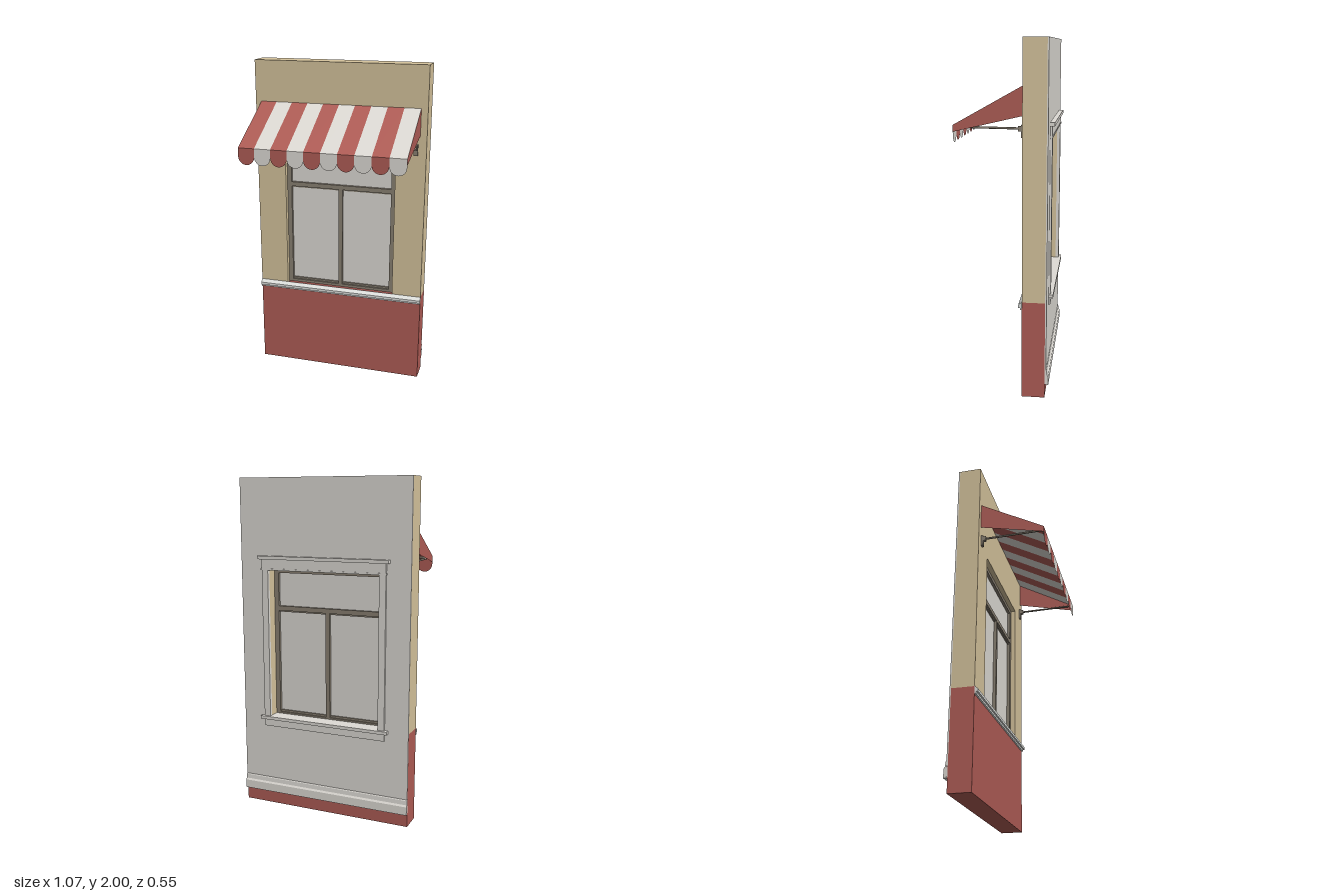
import * as THREE from 'three';

const mat = (name, color, side = THREE.FrontSide) => {
  const m = new THREE.MeshStandardMaterial({ color, side });
  m.name = name;
  return m;
};

export function createModel() {
  const red = mat('brick red', 0xb05d56, THREE.DoubleSide);
  const tan = mat('tan plaster', 0xd6c49d);
  const white = mat('off white', 0xdedbd5, THREE.DoubleSide);
  const trim = mat('pale trim', 0xdfe1de);
  const dark = mat('grey brown frame', 0x8a8173);

  const model = new THREE.Group();
  model.name = 'shopWallWithAwning';

  const add = (name, geo, m, parent = model) => {
    const mesh = new THREE.Mesh(geo, m);
    mesh.name = name;
    parent.add(mesh);
    return mesh;
  };
  // box given by its minimum and maximum on each axis
  const box = (name, m, [x0, x1], [y0, y1], [z0, z1], parent) => {
    const mesh = add(name, new THREE.BoxGeometry(x1 - x0, y1 - y0, z1 - z0), m, parent);
    mesh.position.set((x0 + x1) / 2, (y0 + y1) / 2, (z0 + z1) / 2);
    return mesh;
  };
  const shape = (pts) => new THREE.Shape(pts.map(([x, y]) => new THREE.Vector2(x, y)));
  const extrude = (s, depth, z) =>
    new THREE.ExtrudeGeometry(s, { depth, bevelEnabled: false }).translate(0, 0, z);
  // moulding: (z, y) profile swept along x
  const moulding = (name, m, pts, halfWidth, parent) => {
    const geo = extrude(shape(pts.map(([z, y]) => [-z, y])), halfWidth * 2, -halfWidth);
    return add(name, geo.rotateY(Math.PI / 2), m, parent);
  };
  const rod = (name, a, b, r, m, parent) => {
    const path = new THREE.LineCurve3(new THREE.Vector3(...a), new THREE.Vector3(...b));
    add(name, new THREE.TubeGeometry(path, 1, r, 8), m, parent);
  };

  const W = 0.533, OW = 0.35, SILL = 0.565, HEAD = 1.47;
  const FRONT = -0.11, BACK = -0.24;

  // Wall: painted base and plastered upper part around the opening
  box('lowerWall', red, [-W, W], [0, SILL], [BACK, FRONT]);
  const upper = shape([[-W, SILL], [-OW, SILL], [-OW, HEAD], [OW, HEAD],
    [OW, SILL], [W, SILL], [W, 2], [-W, 2]]);
  add('upperWall', extrude(upper, FRONT - BACK, BACK), tan);

  // Inner wall lining with the window opening
  const lining = shape([[-W, 0.08], [W, 0.08], [W, 2], [-W, 2]]);
  lining.holes.push(new THREE.Path([[-OW, SILL], [-OW, HEAD], [OW, HEAD], [OW, SILL]]
    .map(([x, y]) => new THREE.Vector2(x, y))));
  add('innerLining', extrude(lining, 0.008, BACK - 0.008), white);

  // Mouldings: outer ledge and inner baseboard
  moulding('outerLedge', trim, [[FRONT, 0.568], [FRONT, 0.522], [-0.1, 0.522],
    [-0.1, 0.534], [-0.09, 0.534], [-0.09, 0.55]], W + 0.001);
  moulding('baseboard', white, [[-0.245, 0.08], [-0.245, 0.175], [-0.252, 0.165],
    [-0.254, 0.14], [-0.261, 0.13], [-0.262, 0.08]], W + 0.001);

  // Window
  const win = new THREE.Group();
  win.name = 'window';
  model.add(win);
  const FZ = [-0.18, -0.14];
  for (const s of [-1, 1]) {
    const x = [s * OW, s * 0.322].sort((a, b) => a - b);
    box('frameSide', dark, x, [SILL, HEAD], FZ, win);
  }
  box('frameBottom', dark, [-0.322, 0.322], [SILL, 0.582], FZ, win);
  box('frameTop', dark, [-0.322, 0.322], [1.445, HEAD], FZ, win);
  box('transom', dark, [-0.322, 0.322], [1.218, 1.246], FZ, win);
  box('mullion', dark, [-0.013, 0.013], [0.582, 1.218], FZ, win);
  // thin sash rails around the two lower panes
  for (const s of [-1, 1]) {
    const x = [s * 0.322, s * 0.013].sort((a, b) => a - b);
    box('sashRail', dark, x, [0.582, 0.594], [-0.172, -0.15], win);
    box('sashRail', dark, x, [1.21, 1.218], [-0.172, -0.15], win);
    box('lowerPane', white, x, [0.594, 1.21], [-0.163, -0.158], win);
  }
  box('upperPane', white, [-0.322, 0.322], [1.246, 1.445], [-0.163, -0.158], win);

  // Inner window casing
  const casing = new THREE.Group();
  casing.name = 'innerCasing';
  model.add(casing);
  for (const s of [-1, 1]) {
    const x = [s * OW, s * 0.39].sort((a, b) => a - b);
    box('casingSide', white, x, [0.572, HEAD], [-0.26, -0.246], casing);
  }
  box('casingHead', white, [-0.39, 0.39], [HEAD, 1.532], [-0.26, -0.246], casing);
  box('casingBead', white, [-0.395, 0.395], [1.466, 1.476], [-0.264, -0.246], casing);
  box('casingCap', white, [-0.41, 0.41], [1.53, 1.55], [-0.275, -0.246], casing);
  box('innerSill', white, [-0.41, 0.41], [0.553, 0.572], [-0.275, -0.246], casing);
  box('sillApron', white, [-0.39, 0.39], [0.508, 0.553], [-0.258, -0.246], casing);
  box('innerStool', white, [-OW, OW], [SILL, 0.572], [-0.248, -0.18], casing);

  // Awning: ten striped panels, each with a scalloped flap
  const awning = new THREE.Group();
  awning.name = 'awning';
  model.add(awning);
  const N = 10, X0 = -0.497, X1 = 0.493, step = (X1 - X0) / N;
  const TOP = 1.752, EDGE = 1.54, ZF = 0.27;
  const run = ZF - FRONT, drop = TOP - EDGE;
  for (let i = 0; i < N; i++) {
    const x = X0 + (i + 0.5) * step, m = i % 2 ? white : red;
    const panel = add('awningStripe', new THREE.PlaneGeometry(step, Math.hypot(run, drop)), m, awning);
    panel.position.set(x, (TOP + EDGE) / 2, (FRONT + ZF) / 2);
    panel.rotation.x = -Math.atan2(run, drop);
    const r = step / 2;
    const flap = new THREE.Shape();
    flap.moveTo(-r, EDGE);
    flap.lineTo(-r, 1.442 + r);
    flap.absarc(0, 1.442 + r, r, Math.PI, Math.PI * 2, false);
    flap.lineTo(r, EDGE);
    const f = add('awningScallop', new THREE.ShapeGeometry(flap, 12), m, awning);
    f.position.set(x, 0, ZF);
  }
  // side cheeks
  const cheek = shape([[-FRONT, TOP], [-FRONT, 1.592], [-ZF, 1.503], [-ZF, EDGE]]);
  for (const x of [X0, X1]) {
    const c = add('awningCheek', new THREE.ShapeGeometry(cheek), red, awning);
    c.rotation.y = Math.PI / 2;
    c.position.x = x;
  }
  // support bar, arms and wall brackets
  rod('frontBar', [X0 + 0.005, 1.528, 0.26], [X1 - 0.005, 1.528, 0.26], 0.006, dark, awning);
  for (const x of [X0 + 0.022, X1 - 0.022]) {
    rod('awningArm', [x, 1.523, -0.1], [x, 1.528, 0.26], 0.006, dark, awning);
    box('armBracket', dark, [x - 0.012, x + 0.012], [1.475, 1.542], [FRONT, -0.098], awning);
    box('armHinge', dark, [x - 0.009, x + 0.009], [1.508, 1.536], [-0.098, -0.082], awning);
  }
  return model;
}
